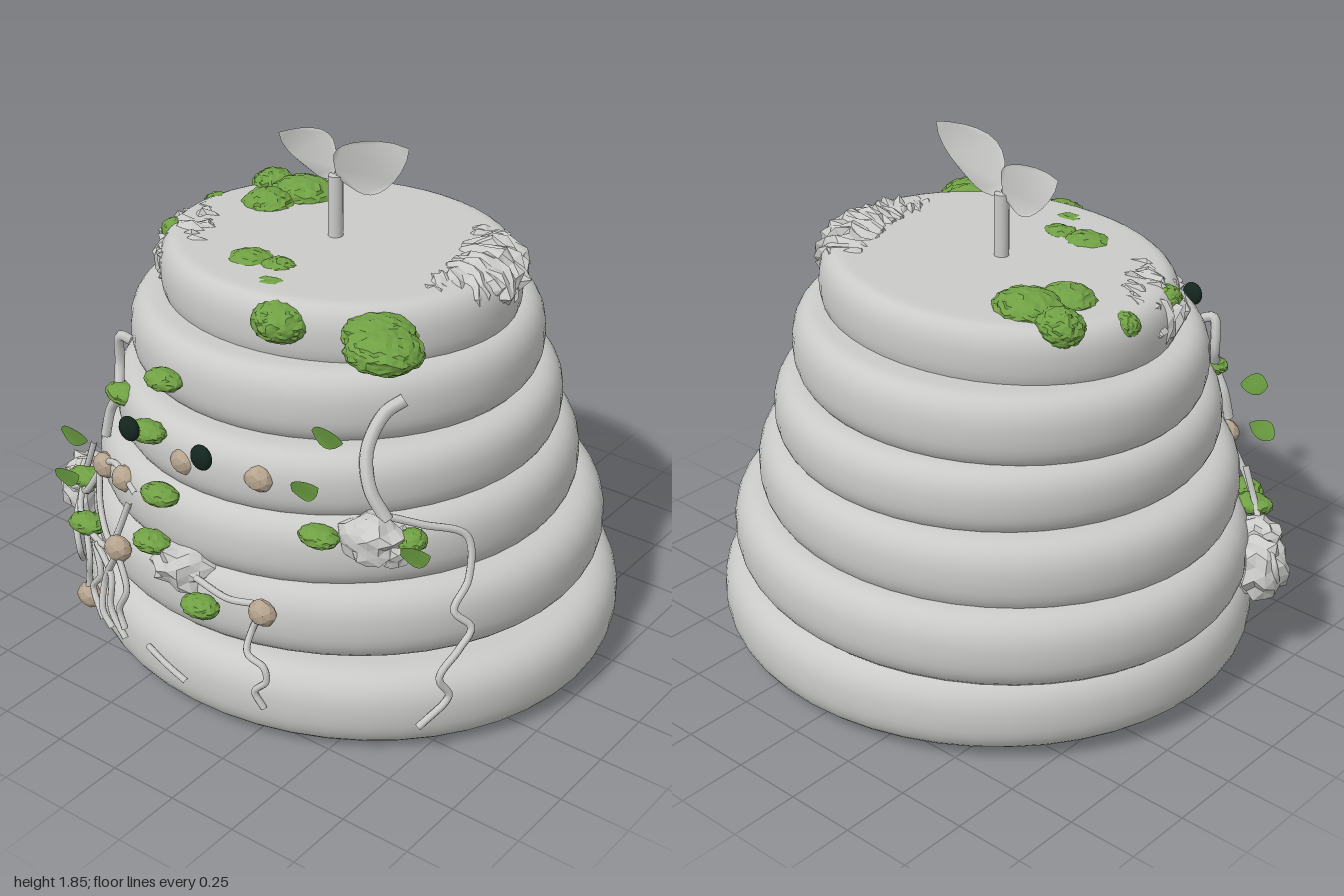
import * as THREE from 'three';
import { mergeVertices } from 'three/addons/utils/BufferGeometryUtils.js';

const clay = new THREE.MeshStandardMaterial({ color: 0xcacac8 });
clay.name = 'paleClay';
const moss = new THREE.MeshStandardMaterial({ color: 0x70a044 });
moss.name = 'mossGreen';
const leafGreen = new THREE.MeshStandardMaterial({ color: 0x6a9c40, side: THREE.DoubleSide });
leafGreen.name = 'leafGreen';
const tan = new THREE.MeshStandardMaterial({ color: 0xb5a48e });
tan.name = 'pebbleTan';
const dark = new THREE.MeshStandardMaterial({ color: 0x14261f });
dark.name = 'eyeDark';
const sprout = new THREE.MeshStandardMaterial({ color: 0xcacac9, side: THREE.DoubleSide });
sprout.name = 'sproutClay';

// Stacked rings: bottom y, top y, radius x, radius z, centre x, centre z, tilt
const RINGS = [
  [0.02, 0.31, 0.985, 0.92, 0.015, -0.02, -0.02],
  [0.29, 0.575, 0.945, 0.88, -0.02, -0.04, 0.015],
  [0.535, 0.81, 0.865, 0.825, -0.035, -0.015, 0.025],
  [0.775, 1.025, 0.785, 0.775, -0.025, -0.005, 0.015],
  [1.0, 1.26, 0.735, 0.69, -0.045, -0.02, 0.025],
  [1.21, 1.45, 0.655, 0.56, -0.03, -0.015, 0.03],
];

function seeded(seed) {
  let s = seed;
  return () => (s = (s * 16807) % 2147483647) / 2147483647;
}

// Depth of the front surface at a given x and y
function surfaceZ(x, y) {
  const r = RINGS.find((q) => y < q[1] - 0.01) || RINGS[5];
  const u = Math.min(1, Math.abs((x - r[4]) / r[2]));
  return r[5] + r[3] * Math.sqrt(1 - u * u);
}

const flat = (g) => {
  const f = g.index ? g.toNonIndexed() : g;
  f.computeVertexNormals();
  return f;
};

function add(parent, name, geometry, material, pos = [0, 0, 0]) {
  const m = new THREE.Mesh(geometry, material);
  m.name = name;
  m.position.set(...pos);
  parent.add(m);
  return m;
}

function ringGeometry(h) {
  const pts = [new THREE.Vector2(0, 0), new THREE.Vector2(0.8, 0)];
  const a = 0.13;
  for (let i = 0; i <= 16; i++) {
    const t = -Math.PI / 2 + (Math.PI * i) / 16;
    const c = Math.cos(t), s = Math.sin(t);
    pts.push(new THREE.Vector2(1 - a + a * Math.pow(Math.max(c, 0), 0.85),
      h / 2 + (h / 2) * Math.sign(s) * Math.pow(Math.abs(s), 0.85)));
  }
  pts.push(new THREE.Vector2(0.8, h), new THREE.Vector2(0, h));
  return new THREE.LatheGeometry(pts, 48);
}

// Rounded lump with seeded bumps along its own directions
function lump(seed, detail, rough) {
  let g = new THREE.IcosahedronGeometry(1, detail);
  g.deleteAttribute('uv');
  g.deleteAttribute('normal');
  g = mergeVertices(g, 1e-4);
  const rnd = seeded(seed), p = g.attributes.position;
  for (let i = 0; i < p.count; i++) {
    const k = 1 + (rnd() - 0.5) * rough;
    p.setXYZ(i, p.getX(i) * k, p.getY(i) * k, p.getZ(i) * k);
  }
  return flat(g);
}

// Jagged crust: a tapering arc of tube with scattered vertices
function crust(a0, a1, rx, rz, wide, high, seed) {
  const U = 44, V = 16, rnd = seeded(seed), pos = [], idx = [];
  for (let i = 0; i <= U; i++) {
    const u = i / U, a = a0 + (a1 - a0) * u, taper = Math.pow(Math.sin(Math.PI * u), 0.55);
    const ring = [];
    for (let j = 0; j < V; j++) {
      const t = (2 * Math.PI * j) / V, k = taper * (0.75 + 0.42 * rnd());
      const d = Math.cos(t) * wide * k, y = Math.sin(t) * high * k;
      const da = a + (rnd() - 0.5) * 0.05;
      ring.push((rx + d) * Math.cos(da), y, (rz + d) * Math.sin(da));
    }
    pos.push(...ring);
  }
  for (let i = 0; i < U; i++) for (let j = 0; j < V; j++) {
    const a = i * V + j, b = i * V + ((j + 1) % V), c = a + V, d = b + V;
    idx.push(a, b, c, b, d, c);
  }
  const g = new THREE.BufferGeometry();
  g.setAttribute('position', new THREE.Float32BufferAttribute(pos, 3));
  g.setIndex(idx);
  return flat(g);
}

// Tube through points; missing z values follow the ring surface
function vine(parent, name, pts, r) {
  const v = pts.map(([x, y, z]) => new THREE.Vector3(x, y, z ?? surfaceZ(x, y) + 0.01));
  const curve = new THREE.CatmullRomCurve3(v, false, 'centripetal');
  add(parent, name, new THREE.TubeGeometry(curve, pts.length * 7, r, 7), clay);
}

// Pointed leaf growing along +x, gently cupped
function leafGeometry(len, w, cup) {
  const s = new THREE.Shape();
  s.moveTo(0, 0);
  s.bezierCurveTo(len * 0.15, w * 0.75, len * 0.6, w * 0.8, len, 0);
  s.bezierCurveTo(len * 0.75, -w * 0.7, len * 0.3, -w * 0.75, 0, 0);
  const g = new THREE.ShapeGeometry(s, 10);
  const p = g.attributes.position;
  for (let i = 0; i < p.count; i++) p.setZ(i, cup * Math.pow(p.getY(i) / w, 2) * 3);
  g.computeVertexNormals();
  return g;
}

export function createModel() {
  const model = new THREE.Group();
  model.name = 'mossyHive';

  // Body
  RINGS.forEach(([y0, y1, rx, rz, cx, cz, tilt], i) => {
    const m = add(model, 'bodyRing' + (i + 1), ringGeometry(y1 - y0), clay, [cx, y0, cz]);
    m.scale.set(rx, 1, rz);
    m.rotation.z = tilt;
  });

  // Jagged crusts on the top rim
  add(model, 'leftCrust', crust(-1.15, 0.75, 0.5, 0.43, 0.13, 0.095, 11), clay, [0.0, 1.4, -0.03]);
  add(model, 'rightCrust', crust(2.0, 3.5, 0.55, 0.43, 0.13, 0.12, 29), clay, [-0.02, 1.33, 0]);

  // Sprout
  add(model, 'sproutStem', new THREE.CylinderGeometry(0.026, 0.026, 0.24, 16), clay, [-0.05, 1.55, -0.015]);
  const big = add(model, 'sproutLeafLeft', leafGeometry(0.36, 0.17, 0.05), sprout, [-0.045, 1.66, -0.015]);
  big.rotation.set(0.1, 0, 0.54);
  const small = add(model, 'sproutLeafRight', leafGeometry(0.255, 0.16, 0.05), sprout, [-0.055, 1.66, -0.015]);
  small.rotation.set(0.1, Math.PI, 0.45);

  // Large moss cushions: x, y, z, radius
  [[0.44, 1.385, 0.4, 0.125], [0.5, 1.375, 0.46, 0.13], [-0.17, 1.4, 0.29, 0.11], [-0.06, 1.4, 0.28, 0.09],
    [0.01, 1.39, 0.4, 0.12], [0.12, 1.38, 0.5, 0.1], [-0.53, 1.42, -0.28, 0.085], [-0.38, 1.43, -0.26, 0.125],
    [-0.43, 1.42, -0.12, 0.1], [-0.63, 1.39, -0.08, 0.055], [-0.6, 1.39, 0.18, 0.055],
  ].forEach(([x, y, z, r], i) => {
    add(model, 'mossCushion', lump(40 + i, 6, 0.11), moss, [x, y, z]).scale.set(r, Math.min(0.065, r * 0.8), r * 0.9);
  });

  // Small moss tufts
  [[-0.23, 1.13, 0.68], [-0.24, 0.97, 0.76], [-0.49, 0.96, 0.6], [-0.16, 0.775, 0.8], [-0.18, 0.6, 0.83],
    [-0.75, 0.51, 0.55], [-0.6, 0.45, 0.71], [0.07, 0.47, 0.88], [0.41, 0.77, 0.68], [0.67, 0.78, 0.53],
  ].forEach(([x, y, z], i) => {
    const m = add(model, 'mossTuft', lump(80 + i, 4, 0.12), moss, [x, y, z]);
    m.scale.set(i === 9 ? 0.05 : 0.073, 0.035, 0.052);
  });

  // Pebbles
  [[-0.21, 0.91, 0.71], [-0.09, 0.905, 0.75], [0.2, 0.93, 0.72], [-0.54, 0.685, 0.66], [-0.385, 0.72, 0.73],
    [-0.35, 0.5, 0.82], [0.285, 0.5, 0.82], [-0.57, 0.18, 0.75],
  ].forEach(([x, y, z], i) => {
    add(model, 'pebble', lump(120 + i, 1, 0.1), tan, [x, y, z]).scale.set(0.054, 0.047, 0.038);
  });

  // Eyes
  [-0.2, 0.105].forEach((x) => {
    add(model, 'eye', new THREE.SphereGeometry(1, 20, 14), dark, [x, 1.05, 0.885]).scale.set(0.041, 0.044, 0.023);
  });

  // Loose leaves: start x, y, angle
  [[0.46, 1.22, -0.2], [0.38, 0.975, 0.4], [0.8, 0.9, 0.3], [-0.63, 0.85, -0.2], [-0.67, 0.65, 0.3],
  ].forEach(([x, y, a]) => {
    add(model, 'looseLeaf', leafGeometry(0.11, 0.072, 0.012), leafGreen, [x, y, 0.775]).rotation.set(0.2, 0.15, a);
  });

  // Clay knots where the vines gather: x, y, z, sizes
  [[-0.89, 0.37, 0.41, 0.1, 0.12, 0.1], [-0.83, 0.45, 0.47, 0.08, 0.06, 0.08], [-0.07, 0.535, 0.79, 0.125, 0.085, 0.1],
    [0.55, 0.77, 0.58, 0.11, 0.085, 0.09], [0.62, 0.74, 0.54, 0.06, 0.06, 0.07],
  ].forEach(([x, y, z, a, b, c], i) => {
    add(model, 'clayKnot', lump(160 + i, 2, 0.38), clay, [x, y, z]).scale.set(a, b, c);
  });

  // Vines
  vine(model, 'leftThickVine', [[0.54, 1.19, 0.4], [0.5, 1.15, 0.45], [0.49, 1.05, 0.53], [0.53, 0.94, 0.57], [0.59, 0.84, 0.56]], 0.023);
  vine(model, 'leftLongVine', [[0.56, 0.85, 0.56], [0.66, 0.8, 0.46], [0.76, 0.74, 0.35], [0.79, 0.6, 0.38], [0.79, 0.52, 0.46],
    [0.84, 0.46, 0.43], [0.83, 0.4, 0.48], [0.8, 0.31, 0.55], [0.82, 0.23, 0.52], [0.77, 0.14, 0.62]], 0.013);
  vine(model, 'middleVine', [[0.02, 0.54, 0.84], [0.15, 0.51], [0.28, 0.51], [0.24, 0.42], [0.25, 0.35, 0.86], [0.32, 0.32, 0.86],
    [0.33, 0.27], [0.29, 0.22], [0.32, 0.16]], 0.012);
  vine(model, 'twig', [[-0.16, 0.22], [-0.07, 0.19], [0.02, 0.16]], 0.011);
  vine(model, 'rightThickVine', [[-0.48, 1.15, 0.56], [-0.52, 1.16, 0.57], [-0.54, 1.05, 0.56], [-0.52, 0.95, 0.6], [-0.56, 0.87, 0.6], [-0.58, 0.77, 0.61]], 0.018);
  [[[-0.85, 0.45, 0.46], [-0.7, 0.43, 0.64], [-0.5, 0.44, 0.76], [-0.33, 0.48, 0.82]],
    [[-0.9, 0.45, 0.4], [-0.78, 0.52, 0.52], [-0.72, 0.66, 0.53]],
    [[-0.84, 0.42, 0.48], [-0.77, 0.33, 0.6], [-0.74, 0.24, 0.62], [-0.78, 0.16, 0.57]],
    [[-0.8, 0.45, 0.52], [-0.66, 0.53, 0.64], [-0.57, 0.67, 0.64]],
    [[-0.6, 0.45, 0.72], [-0.55, 0.35, 0.76], [-0.57, 0.25, 0.75], [-0.57, 0.16, 0.76]],
    [[-0.57, 0.68, 0.66], [-0.52, 0.55, 0.72], [-0.42, 0.48, 0.78], [-0.34, 0.66, 0.76]],
    [[-0.5, 0.44, 0.77], [-0.4, 0.36, 0.81], [-0.38, 0.25, 0.84], [-0.3, 0.17, 0.86]],
    [[-0.36, 0.47, 0.82], [-0.44, 0.32, 0.8], [-0.43, 0.22, 0.83], [-0.38, 0.17, 0.84]],
    [[-0.34, 0.48, 0.83], [-0.28, 0.38, 0.86], [-0.32, 0.28, 0.86], [-0.29, 0.22, 0.87]],
    [[-0.52, 0.43, 0.76], [-0.47, 0.33, 0.79], [-0.52, 0.25, 0.78], [-0.44, 0.17, 0.82]],
    [[-0.54, 0.7, 0.66], [-0.45, 0.74, 0.7], [-0.3, 0.71, 0.77]],
    [[-0.9, 0.47, 0.42], [-0.97, 0.42, 0.37], [-0.96, 0.33, 0.4], [-0.88, 0.26, 0.46]],
  ].forEach((pts) => vine(model, 'tangledVine', pts, 0.012));

  return model;
}
